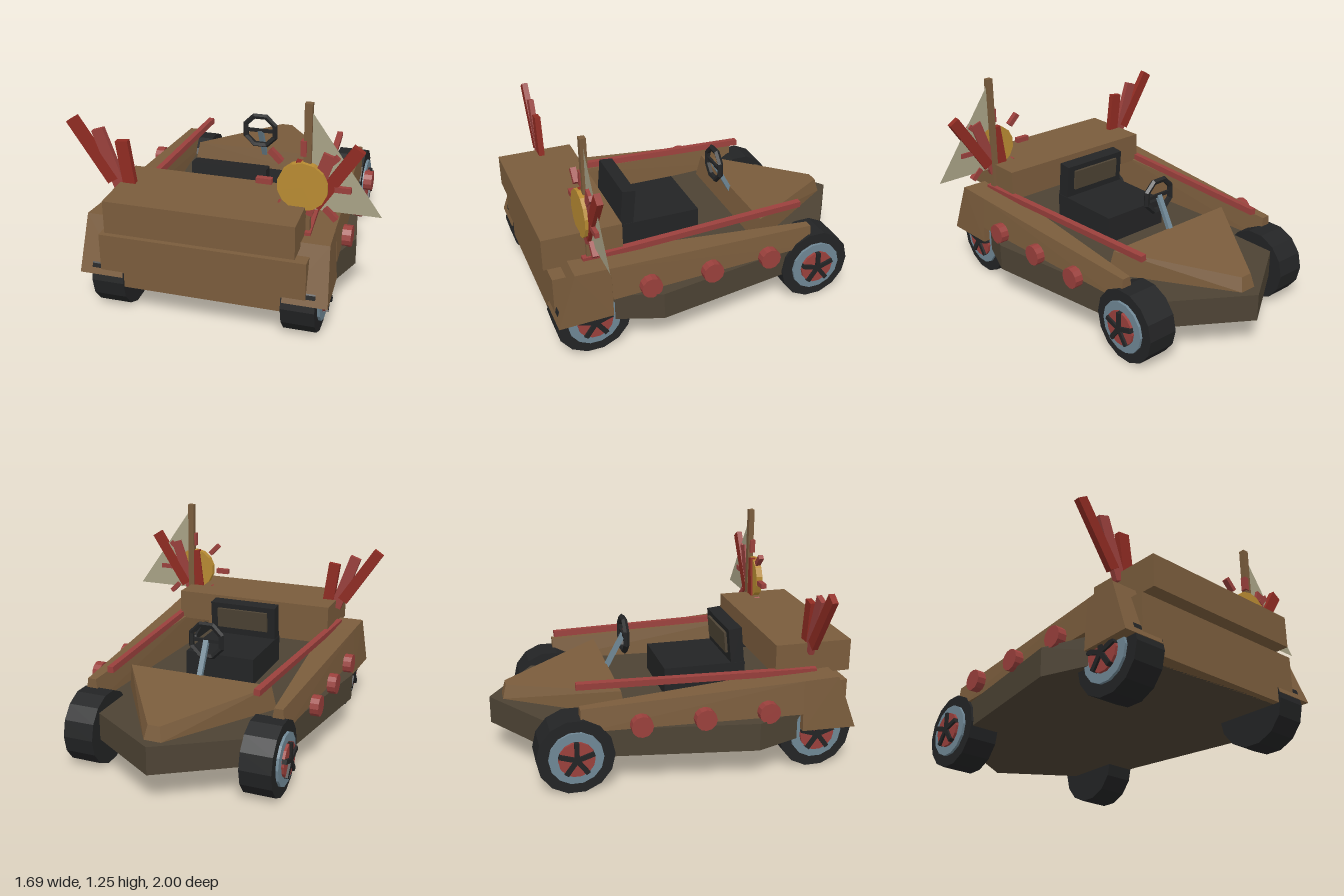
import * as THREE from 'three';
import { ConvexGeometry } from 'three/addons/geometries/ConvexGeometry.js';

const CX = -0.055; // centre line of the car; the flag overhangs on one side

export function createModel() {
  const root = new THREE.Group();
  root.name = 'woodenKart';
  const car = new THREE.Group();
  car.name = 'car';
  car.position.x = CX;
  root.add(car);

  const mat = (name, color, extra = {}) =>
    Object.assign(new THREE.MeshStandardMaterial({ color, flatShading: true, ...extra }), { name });
  const wood = mat('wood', 0x7a5c3c);
  const darkWood = mat('darkWood', 0x4d4334);
  const black = mat('black', 0x232425);
  const red = mat('paintedRed', 0x9a403c);
  const deepRed = mat('deepRed', 0x8f2b22);
  const steel = mat('steel', 0x6f8795);
  const gold = mat('gold', 0xb88b32);
  const cloth = mat('cloth', 0xa8a286, { side: THREE.DoubleSide });

  const add = (name, geo, material, x = 0, y = 0, z = 0, parent = car) => {
    const m = new THREE.Mesh(geo, material);
    m.name = name;
    m.position.set(x, y, z);
    parent.add(m);
    return m;
  };
  // box given by its lower and upper limits
  const block = (name, material, [x0, x1], [y0, y1], [z0, z1], parent = car) =>
    add(name, new THREE.BoxGeometry(x1 - x0, y1 - y0, z1 - z0), material,
      (x0 + x1) / 2, (y0 + y1) / 2, (z0 + z1) / 2, parent);
  // flat-faced solid from its corners
  const solid = (name, material, pts, s = 1) =>
    add(name, new ConvexGeometry(pts.map(([x, y, z]) => new THREE.Vector3(s * x, y, z))), material);
  // square bar between two points
  const bar = (name, material, a, b, w, d, parent = car) => {
    const A = new THREE.Vector3(...a), B = new THREE.Vector3(...b);
    const m = add(name, new THREE.BoxGeometry(w, A.distanceTo(B), d), material, 0, 0, 0, parent);
    m.position.copy(A).add(B).multiplyScalar(0.5);
    m.quaternion.setFromUnitVectors(new THREE.Vector3(0, 1, 0), B.sub(A).normalize());
    return m;
  };

  // Floor hull with a pointed nose
  const half = [[0.56, -0.63], [0.72, 0.4], [0.52, 0.93]];
  const outline = [[0, -1], ...half, ...half.map(([x, z]) => [-x, z]).reverse()];
  const shape = new THREE.Shape(outline.map(([x, z]) => new THREE.Vector2(x, -z)));
  const hullGeo = new THREE.ExtrudeGeometry(shape, { depth: 0.16, bevelEnabled: false });
  hullGeo.rotateX(-Math.PI / 2);
  add('hull', hullGeo, darkWood, 0, 0.19, 0);

  // Nose cowl
  const cowl = [];
  for (const s of [-1, 1]) {
    cowl.push([s * 0.46, 0.35, -0.285], [s * 0.435, 0.495, -0.31],
      [s * 0.05, 0.35, -0.925], [s * 0.035, 0.43, -0.905]);
  }
  solid('cowl', wood, cowl);

  // Tail board and rear trunk
  block('tailBoard', wood, [-0.56, 0.56], [0.19, 0.49], [0.89, 0.968]);
  block('trunk', wood, [-0.508, 0.508], [0.527, 0.71], [0.555, 1]);

  for (const s of [-1, 1]) {
    // Side pods: long tapered front and deeper rear fender
    const joint = [[0.465, 0.542, 0.67], [0.648, 0.542, 0.67]];
    solid('sidePod', wood, [
      [0.515, 0.35, -0.56], [0.6, 0.35, -0.56], [0.535, 0.477, -0.56], [0.585, 0.477, -0.56],
      [0.445, 0.35, 0.67], [0.663, 0.35, 0.67], ...joint], s);
    solid('rearFender', wood, [
      [0.44, 0.25, 0.67], [0.665, 0.25, 0.67], ...joint,
      [0.455, 0.555, 0.87], [0.66, 0.555, 0.87], [0.435, 0.25, 0.978], [0.677, 0.25, 0.978]], s);

    // Painted rail above each pod
    bar('sideRail', red, [s * 0.437, 0.55, -0.56], [s * 0.522, 0.55, 0.79], 0.036, 0.036);

    // Round knobs along the side
    for (const z of [-0.25, 0.1, 0.46]) {
      const knob = add('sideKnob', new THREE.CylinderGeometry(0.06, 0.06, 0.05, 12), red, s * 0.68, 0.395, z);
      knob.rotation.z = Math.PI / 2;
    }

    // Fanned exhaust boards
    const z = 0.752;
    bar('outerExhaust', deepRed, [s * 0.55, 0.71, z], [s * 0.767, 1.045, z], 0.066, 0.034);
    bar('middleExhaust', red, [s * 0.505, 0.66, z], [s * 0.622, 1.0, z], 0.068, 0.03);
    bar('innerExhaust', deepRed, [s * 0.448, 0.64, z], [s * 0.488, 0.948, z], 0.07, 0.034);

    // Wheels
    for (const wz of [-0.593, 0.768]) {
      const wheel = new THREE.Group();
      wheel.name = wz < 0 ? 'noseWheel' : 'tailWheel';
      wheel.position.set(s * 0.52, 0.214, wz);
      wheel.rotation.y = s > 0 ? 0 : Math.PI;
      car.add(wheel);
      const disc = (name, material, r, x0, x1) => {
        const m = add(name, new THREE.CylinderGeometry(r, r, x1 - x0, 14), material, (x0 + x1) / 2, 0, 0, wheel);
        m.rotation.z = Math.PI / 2;
      };
      disc('tyre', black, 0.214, -0.09, 0.09);
      disc('rim', steel, 0.15, 0.08, 0.105);
      disc('hubDisc', red, 0.1, 0.1, 0.12);
      for (let i = 0; i < 5; i++) {
        const a = Math.PI / 2 + (i * Math.PI * 2) / 5;
        bar('spoke', black, [0.12, 0, 0], [0.12, 0.1 * Math.sin(a), 0.1 * Math.cos(a)], 0.026, 0.026, wheel);
      }
    }
  }

  // Seat with a padded back leaning slightly forward
  block('seatBase', black, [-0.216, 0.216], [0.35, 0.513], [-0.01, 0.478]);
  const back = new THREE.Group();
  back.name = 'seatBack';
  back.position.set(0, 0.5, 0.435);
  back.rotation.x = -0.1;
  car.add(back);
  block('backFrame', black, [-0.213, 0.213], [0, 0.222], [-0.04, 0.04], back);
  block('backPad', darkWood, [-0.165, 0.165], [0.065, 0.19], [-0.055, -0.04], back);

  // Steering wheel and column
  const rim = add('steeringWheel', new THREE.TorusGeometry(0.1, 0.018, 5, 8), black, 0, 0.67, -0.206);
  rim.rotation.z = Math.PI / 8;
  block('steeringSpoke', black, [-0.095, 0.095], [0.66, 0.68], [-0.214, -0.198]);
  bar('steeringColumn', steel, [0, 0.67, -0.206], [0, 0.45, -0.325], 0.03, 0.026);

  // Flag pole and pennant
  block('flagPole', wood, [0.49, 0.529], [0.45, 1.26], [0.73, 0.764]);
  const pennant = new THREE.Shape([[0.529, 1.21], [0.529, 0.685], [0.893, 0.685]].map((p) => new THREE.Vector2(...p)));
  add('pennant', new THREE.ShapeGeometry(pennant), cloth, 0, 0, 0.748);

  // Sun ornament with eight rays
  const sun = new THREE.Group();
  sun.name = 'sunOrnament';
  sun.position.set(0.49, 0.82, 0.755);
  car.add(sun);
  const sunDisc = add('sunDisc', new THREE.CylinderGeometry(0.132, 0.132, 0.04, 14), gold, 0, 0, 0.012, sun);
  sunDisc.rotation.x = Math.PI / 2;
  for (let i = 0; i < 8; i++) {
    const a = (i * Math.PI) / 4, c = Math.cos(a), s = Math.sin(a);
    bar('sunRay', red, [0.162 * c, 0.162 * s, 0], [0.245 * c, 0.245 * s, 0], 0.03, 0.032, sun);
  }

  return root;
}
